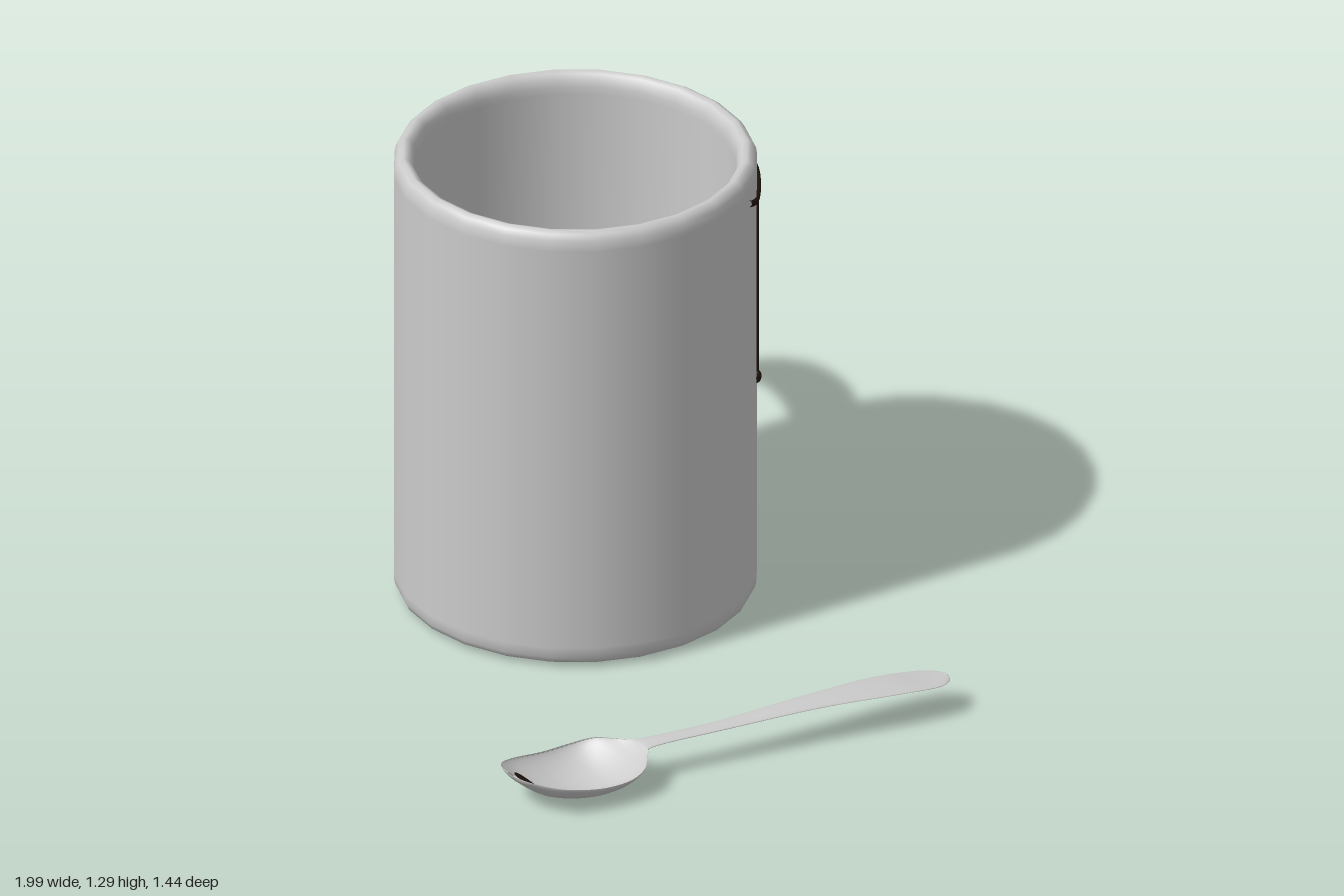
import * as THREE from 'three';
import { ParametricGeometry } from 'three/addons/geometries/ParametricGeometry.js';

const R = 0.48; // outer radius of the mug
const grey = new THREE.MeshStandardMaterial({ color: 0xcccccc });
const coffee = new THREE.MeshStandardMaterial({ color: 0x2e2018 });
const stain = new THREE.MeshStandardMaterial({ color: 0x20150d });

function add(parent, name, geometry, material) {
  const mesh = new THREE.Mesh(geometry, material);
  mesh.name = name;
  parent.add(mesh);
  return mesh;
}

// Mug wall with rounded rim, thick floor and softened foot
function mugBody() {
  const profile = [
    [0, 0.005], [0.44, 0.005], [0.455, 0.006], [0.47, 0.015], [0.477, 0.03], [R, 0.05],
    [R, 0.06], [R, 1.235], [R, 1.245], [0.477, 1.265], [0.468, 1.28], [0.454, 1.288],
    [0.44, 1.282], [0.43, 1.268], [0.426, 1.25], [0.425, 1.23], [0.425, 0.13],
    [0.41, 0.09], [0.38, 0.075], [0, 0.07],
  ].map(([r, y]) => new THREE.Vector2(r, y));
  return new THREE.LatheGeometry(profile, 24);
}

// Handle: oval section swept along a D-shaped path in the radial plane
function handleGeometry() {
  const path = new THREE.CatmullRomCurve3([
    [0.44, 0.985], [0.57, 0.98], [0.7, 0.935], [0.81, 0.85], [0.86, 0.745], [0.875, 0.635],
    [0.86, 0.51], [0.8, 0.405], [0.7, 0.34], [0.57, 0.308], [0.44, 0.302],
  ].map(([r, y]) => new THREE.Vector3(r, y, 0)));
  const soften = (a) => Math.sign(a) * Math.abs(a) ** 0.8;
  return new ParametricGeometry((u, v, target) => {
    const p = path.getPoint(v);
    const t = path.getTangent(v);
    const a = u * Math.PI * 2;
    const n = 0.057 * soften(Math.cos(a));
    target.set(p.x - t.y * n, p.y + t.x * n, 0.08 * soften(Math.sin(a)));
  }, 20, 36);
}

// Spoon stations from tip to handle end: z, centre x, half width, rim height, depth
const stations = [
  [0.72, 0.735, 0.015, 0.1, 0], [0.7, 0.737, 0.07, 0.098, 0.02],
  [0.64, 0.752, 0.112, 0.085, 0.05], [0.54, 0.762, 0.13, 0.068, 0.06],
  [0.45, 0.767, 0.132, 0.066, 0.055], [0.39, 0.775, 0.11, 0.078, 0.035],
  [0.35, 0.793, 0.05, 0.092, 0.01], [0.31, 0.802, 0.028, 0.097, 0],
  [0.1, 0.845, 0.027, 0.1, 0], [-0.15, 0.89, 0.042, 0.106, -0.004],
  [-0.35, 0.925, 0.06, 0.102, -0.004], [-0.48, 0.947, 0.057, 0.093, 0],
  [-0.53, 0.953, 0.035, 0.09, 0], [-0.545, 0.955, 0.008, 0.09, 0],
];
const spline = (a, b, c) => new THREE.CatmullRomCurve3(
  stations.map((s) => new THREE.Vector3(s[a], s[b], c === undefined ? 0 : s[c])), false, 'catmullrom', 0.5);
const outline = spline(0, 1, 2);
const heights = spline(3, 4);

// Point on the spoon: v along, s across (-1..1), lift above the mid surface
function spoonPoint(v, s, lift, target) {
  const o = outline.getPoint(v);
  const h = heights.getPoint(v);
  const bowl = Math.max(0, 1 - s * s) ** 0.7;
  return target.set(o.y + s * o.z, h.x - h.y * bowl + lift, o.x);
}

function spoonGeometry() {
  return new ParametricGeometry((u, v, target) => {
    const a = u * Math.PI * 2;
    spoonPoint(v, -Math.cos(a), 0.005 * Math.sin(a), target);
  }, 32, 78);
}

// Round puddle lying on the inside of the bowl near its tip
function puddleGeometry() {
  return new ParametricGeometry((u, v, target) => {
    const a = u * Math.PI * 2;
    spoonPoint(0.127 + 0.03 * v * Math.sin(a), -0.1 + 0.5 * v * Math.cos(a), 0.009, target);
  }, 24, 6);
}

// Point on the outer mug wall at a given z offset on its right-back side
function wallPoint(z, y) {
  return new THREE.Vector3(Math.sqrt(0.478 ** 2 - z * z), y, z);
}

function tube(points, radius) {
  return new THREE.TubeGeometry(new THREE.CatmullRomCurve3(points), 32, radius, 8);
}

export function createModel() {
  const model = new THREE.Group();
  model.name = 'mugAndSpoon';

  const mug = new THREE.Group();
  mug.name = 'mug';
  mug.position.set(-0.175, 0, -0.175);
  model.add(mug);
  add(mug, 'mugBody', mugBody(), grey);

  const handleMaterial = grey.clone();
  handleMaterial.side = THREE.DoubleSide;
  add(mug, 'handle', handleGeometry(), handleMaterial).rotation.y = Math.PI - 0.565;

  // Coffee inside the mug
  const liquid = add(mug, 'coffee', new THREE.CircleGeometry(0.424, 24), coffee);
  liquid.rotation.x = -Math.PI / 2;
  liquid.position.y = 0.45;

  // Spilled streak below the rim, with a drip running down to a drop
  const streak = [
    [-0.275, 1.205], [-0.3, 1.19], [-0.34, 1.175], [-0.375, 1.18],
    [-0.41, 1.193], [-0.435, 1.193], [-0.455, 1.175],
  ].map(([z, y]) => wallPoint(z, y));
  add(mug, 'spillStreak', tube(streak, 0.009), stain);
  add(mug, 'drip', tube([wallPoint(-0.348, 1.18), wallPoint(-0.347, 0.9), wallPoint(-0.345, 0.64)], 0.007), stain);
  const drop = add(mug, 'dripDrop', new THREE.SphereGeometry(0.014, 12, 10), stain);
  drop.position.copy(wallPoint(-0.345, 0.647));
  drop.scale.y = 1.4;

  const spoon = new THREE.Group();
  spoon.name = 'spoon';
  model.add(spoon);
  add(spoon, 'spoonBody', spoonGeometry(), handleMaterial);
  const puddleMaterial = stain.clone();
  puddleMaterial.side = THREE.DoubleSide;
  add(spoon, 'spoonPuddle', puddleGeometry(), puddleMaterial);

  return model;
}
